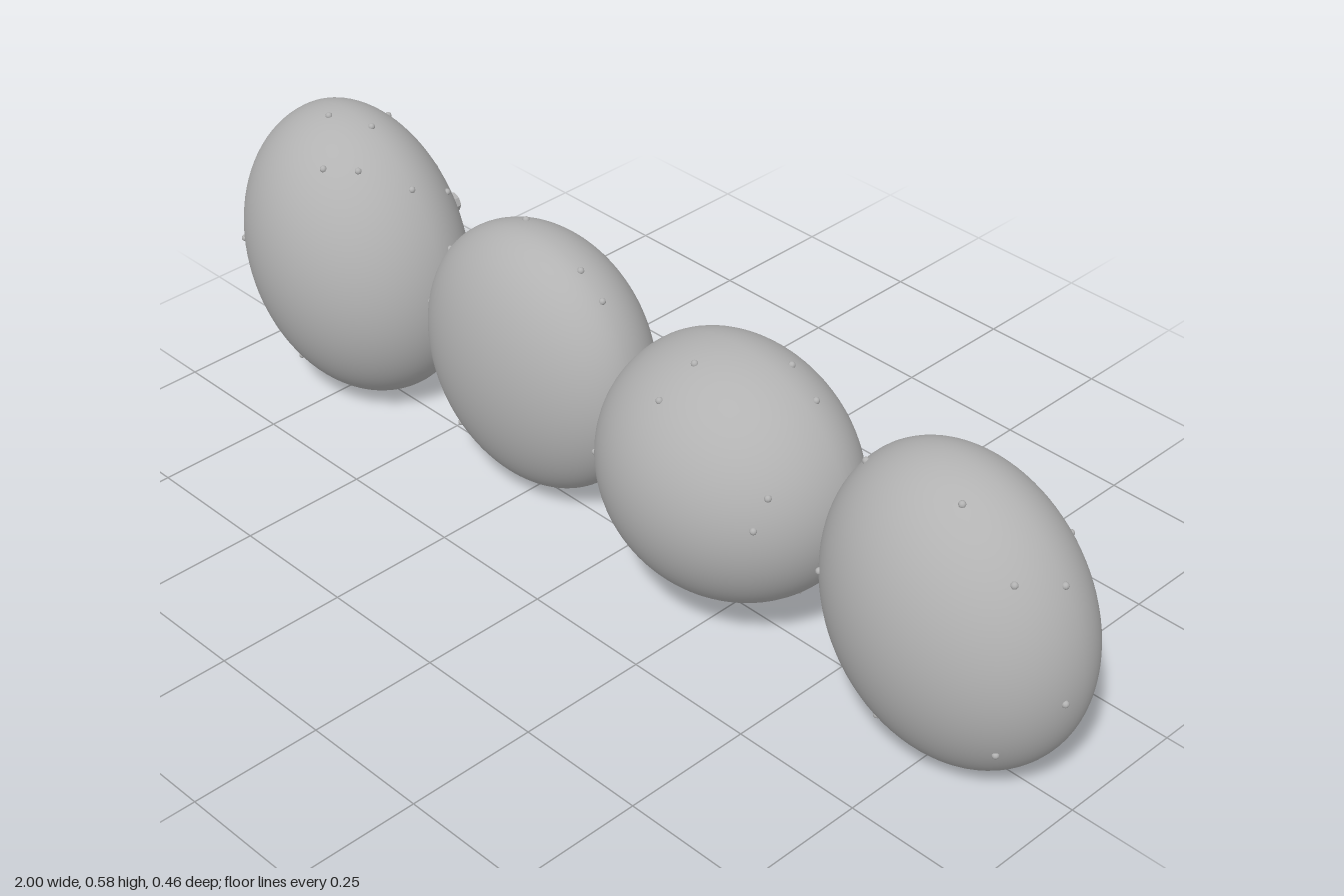
import * as THREE from 'three';

const gray = new THREE.MeshStandardMaterial({ color: 0xb2b2b2 });
gray.name = 'gray';

const BACK_DEPTH = 0.174;

// Each pod: centre, half sizes, front depth, tilt, and bead spots [x, y] on the front and back
const pods = [
  {
    x: -0.758, y: 0.299, a: 0.234, b: 0.291, depth: 0.212, tilt: 0.35,
    front: [[-0.92, 0.31], [-0.79, 0.58], [-0.717, 0.527], [-0.666, 0.527], [-0.597, 0.49],
      [-0.847, 0.09], [-0.79, 0.095]],
    back: [[-0.717, 0.57], [-0.786, 0.53], [-0.71, 0.43], [-0.61, 0.44], [-0.55, 0.12],
      [-0.54, 0.37], [-0.59, 0.13], [-0.69, 0.12], [-0.81, 0.2], [-0.86, 0.16]],
  },
  {
    x: -0.262, y: 0.283, a: 0.254, b: 0.26, depth: 0.147, tilt: 0,
    front: [[-0.5, 0.31], [-0.505, 0.28], [-0.47, 0.184], [-0.495, 0.165], [-0.388, 0.11],
      [-0.222, 0.024], [-0.045, 0.21]],
    back: [[-0.313, 0.535], [-0.142, 0.52], [-0.083, 0.484], [-0.185, 0.04], [-0.25, 0.2]],
  },
  {
    x: 0.238, y: 0.301, a: 0.257, b: 0.239, depth: 0.228, tilt: 0,
    front: [[0.21, 0.525], [0.2, 0.48], [0.43, 0.39], [0.425, 0.335], [0.4, 0.105], [0.485, 0.195]],
    back: [[0.32, 0.52], [0.39, 0.49], [0.32, 0.19], [0.22, 0.18], [0.44, 0.19], [0.47, 0.28],
      [0.43, 0.33], [0.39, 0.32]],
  },
  {
    x: 0.742, y: 0.283, a: 0.245, b: 0.285, depth: 0.198, tilt: 0.44,
    front: [[0.56, 0.49], [0.78, 0.535], [0.9, 0.45], [0.55, 0.31], [0.505, 0.25], [0.92, 0.14],
      [0.68, 0.08], [0.99, 0.245]],
    back: [[0.94, 0.43], [0.85, 0.415], [0.77, 0.02], [0.74, 0.45], [0.63, 0.11]],
  },
];

// The two halves of a unit ball, split across z = 0
const frontHalf = new THREE.SphereGeometry(1, 40, 48, 0, Math.PI);
const backHalf = new THREE.SphereGeometry(1, 40, 48, Math.PI, Math.PI);
const beadGeometry = new THREE.SphereGeometry(0.0065, 10, 8);
const stemGeometry = new THREE.CylinderGeometry(0.02, 0.025, 0.082, 8).toNonIndexed();
stemGeometry.computeVertexNormals();
stemGeometry.rotateX(Math.PI / 2);

function addMesh(parent, geometry, name) {
  const mesh = new THREE.Mesh(geometry, gray);
  mesh.name = name;
  parent.add(mesh);
  return mesh;
}

// Puts a bead on the shell over a given x, y; spots past the rim go on the rim
function addBead(parent, pod, [px, py], depth) {
  const p = new THREE.Vector2(px - pod.x, py - pod.y).rotateAround(new THREE.Vector2(), -pod.tilt);
  p.set(p.x / pod.a, p.y / pod.b);
  if (p.length() > 1) p.normalize();
  const z = depth * Math.sqrt(Math.max(0, 1 - p.lengthSq()));
  const spot = new THREE.Vector3(p.x * pod.a, p.y * pod.b, z);
  spot.applyAxisAngle(new THREE.Vector3(0, 0, 1), pod.tilt);
  addMesh(parent, beadGeometry, 'bead').position.copy(spot);
}

export function createModel() {
  const model = new THREE.Group();
  model.name = 'podRow';
  for (const pod of pods) {
    const group = new THREE.Group();
    group.name = 'pod';
    group.position.set(pod.x, pod.y, 0);
    model.add(group);

    // Rounded shell: front and back differ in depth
    const front = addMesh(group, frontHalf, 'shellFront');
    front.scale.set(pod.a, pod.b, pod.depth);
    const back = addMesh(group, backHalf, 'shellBack');
    back.scale.set(pod.a, pod.b, BACK_DEPTH);
    front.rotation.z = back.rotation.z = pod.tilt;

    // Short faceted stem, flaring to the rear
    const stem = addMesh(group, stemGeometry, 'stem');
    stem.rotation.y = 0;
    stem.position.z = -0.192;
    stem.scale.z = -1;

    for (const spot of pod.front) addBead(group, pod, spot, pod.depth);
    for (const spot of pod.back) addBead(group, pod, spot, -BACK_DEPTH);
  }
  return model;
}
